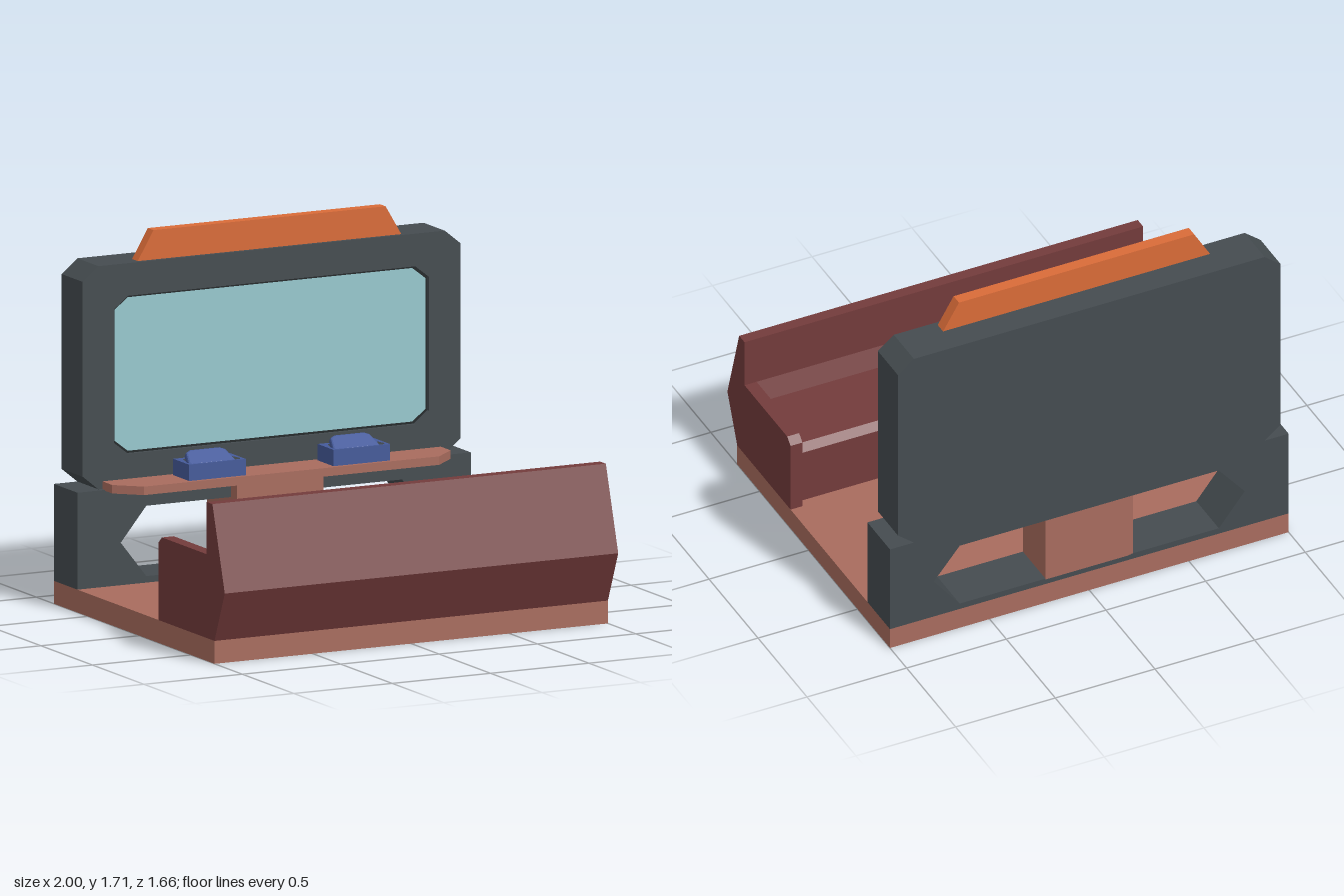
import * as THREE from 'three';

const mat = (name, color) => {
  const m = new THREE.MeshStandardMaterial({ color });
  m.name = name;
  return m;
};

const toShape = (pts) => new THREE.Shape(pts.map(([x, y]) => new THREE.Vector2(x, y)));

// Extrudes an outline in the XY plane from z0 to z1, with optional holes
function frontSolid(pts, z0, z1, holes = []) {
  const shape = toShape(pts);
  holes.forEach((h) => shape.holes.push(toShape(h)));
  return new THREE.ExtrudeGeometry(shape, { depth: z1 - z0, bevelEnabled: false }).translate(0, 0, z0);
}

// Extrudes a [z, y] side profile from x0 to x1
function sideSolid(pts, x0, x1) {
  return frontSolid(pts.map(([z, y]) => [-z, y]), x0, x1).rotateY(Math.PI / 2);
}

// Extrudes an [x, z] plan outline from y0 to y1
function planSolid(pts, y0, y1, holes = []) {
  const flip = (list) => list.map(([x, z]) => [x, -z]);
  return frontSolid(flip(pts), y0, y1, holes.map(flip)).rotateX(-Math.PI / 2);
}

// Rectangle with cut corners
const octagon = (w, y0, y1, cx, cy) => [
  [-w + cx, y0], [w - cx, y0], [w, y0 + cy], [w, y1 - cy],
  [w - cx, y1], [-w + cx, y1], [-w, y1 - cy], [-w, y0 + cy],
];

// Mirrors a half outline across x = 0
const mirrored = (half) => [...half, ...half.map(([x, y]) => [-x, y]).reverse()];

export function createModel() {
  const root = new THREE.Group();
  root.name = 'loungeWithScreen';

  const wood = mat('terracotta', 0xa86c5e);
  const maroon = mat('maroon', 0x733b3b);
  const slate = mat('slate', 0x454c50);
  const rimDark = mat('darkRim', 0x23282a);
  const glass = mat('paleScreen', 0x98c8ce);
  const orange = mat('orange', 0xd96b38);
  const blue = mat('blue', 0x455a9a);

  const add = (name, geometry, material, parent = root) => {
    const mesh = new THREE.Mesh(geometry, material);
    mesh.name = name;
    parent.add(mesh);
    return mesh;
  };

  // Floor slab
  add('floor', new THREE.BoxGeometry(2, 0.105, 1.56).translate(0, 0.0525, -0.05), wood);

  // Sofa, facing the screen
  const sofa = new THREE.Group();
  sofa.name = 'sofa';
  root.add(sofa);
  const back = [[0.73, 0.105], [0.83, 0.34], [0.71, 0.73], [0.655, 0.73], [0.655, 0.49]];
  const seat = [[0.62, 0.4], [0.26, 0.4], [0.225, 0.37], [0.225, 0.105]];
  const arm = [[0.22, 0.49], [0.185, 0.46], [0.185, 0.105]];
  add('sofaSeatAndBack', sideSolid([...back, ...seat], -0.94, 0.94), maroon, sofa);
  add('rightArm', sideSolid([...back, ...arm], -1, -0.94), maroon, sofa);
  add('leftArm', sideSolid([...back, ...arm], 0.94, 1), maroon, sofa);

  // Stand with a six-sided opening
  const opening = mirrored([[0.65, 0.135], [0.78, 0.3], [0.65, 0.458]]);
  add('stand', frontSolid([[-1, 0.105], [1, 0.105], [1, 0.55], [-1, 0.55]], -0.83, -0.6, [opening]), slate);

  // Centre column and the bracket under the shelf
  add('column', new THREE.BoxGeometry(0.44, 0.33, 0.23).translate(0, 0.295, -0.715), wood);
  add('bracket', sideSolid([[-0.6, 0.32], [-0.54, 0.365], [-0.54, 0.546], [-0.6, 0.546]], -0.22, 0.22), wood);

  // Screen housing: solid back, framed front
  const panel = octagon(0.96, 0.55, 1.575, 0.08, 0.065);
  const recess = octagon(0.8, 0.7, 1.425, 0.07, 0.055);
  const pane = octagon(0.79, 0.71, 1.415, 0.067, 0.052);
  add('housing', frontSolid(panel, -0.83, -0.645), slate);
  add('screenFrame', frontSolid(panel, -0.645, -0.625, [recess]), slate);
  add('screenRim', frontSolid(recess, -0.645, -0.642, [pane]), rimDark);
  add('screen', frontSolid(pane, -0.645, -0.641), glass);

  // Top sign board
  add('topBoard', frontSolid([[-0.67, 1.575], [0.67, 1.575], [0.59, 1.71], [-0.59, 1.71]], -0.7, -0.645), orange);

  // Shelf with cut front corners
  add('shelf', planSolid(mirrored([[0.86, -0.63], [0.86, -0.53], [0.75, -0.43]]), 0.546, 0.585), wood);

  // Two trays, each holding a tilted controller
  const padHalf = [
    [0.075, 0.07], [0.1, 0.055], [0.125, -0.045], [0.12, -0.068],
    [0.1, -0.075], [0.078, -0.062], [0.06, -0.03],
  ];
  const well = mirrored([[0.08, -0.59], [0.11, -0.575], [0.132, -0.49], [0.122, -0.462]]);
  for (const side of [-1, 1]) {
    const dock = new THREE.Group();
    dock.name = side > 0 ? 'leftDock' : 'rightDock';
    dock.position.x = side * 0.367;
    root.add(dock);
    const rim = mirrored([[0.144, -0.604], [0.144, -0.45]]);
    add('trayRim', planSolid(rim, 0.6, 0.66, [well]), blue, dock);
    add('trayFloor', planSolid(rim, 0.585, 0.6), blue, dock);
    const pad = new THREE.ExtrudeGeometry(toShape(mirrored(padHalf)), {
      depth: 0.016, bevelEnabled: true, bevelThickness: 0.009, bevelSize: 0.008, bevelOffset: -0.008, bevelSegments: 2,
    });
    const controller = add('controller', pad, blue, dock);
    controller.rotation.x = -Math.PI / 2 + 0.56;
    controller.position.set(0, 0.643, -0.53);
  }

  return root;
}
